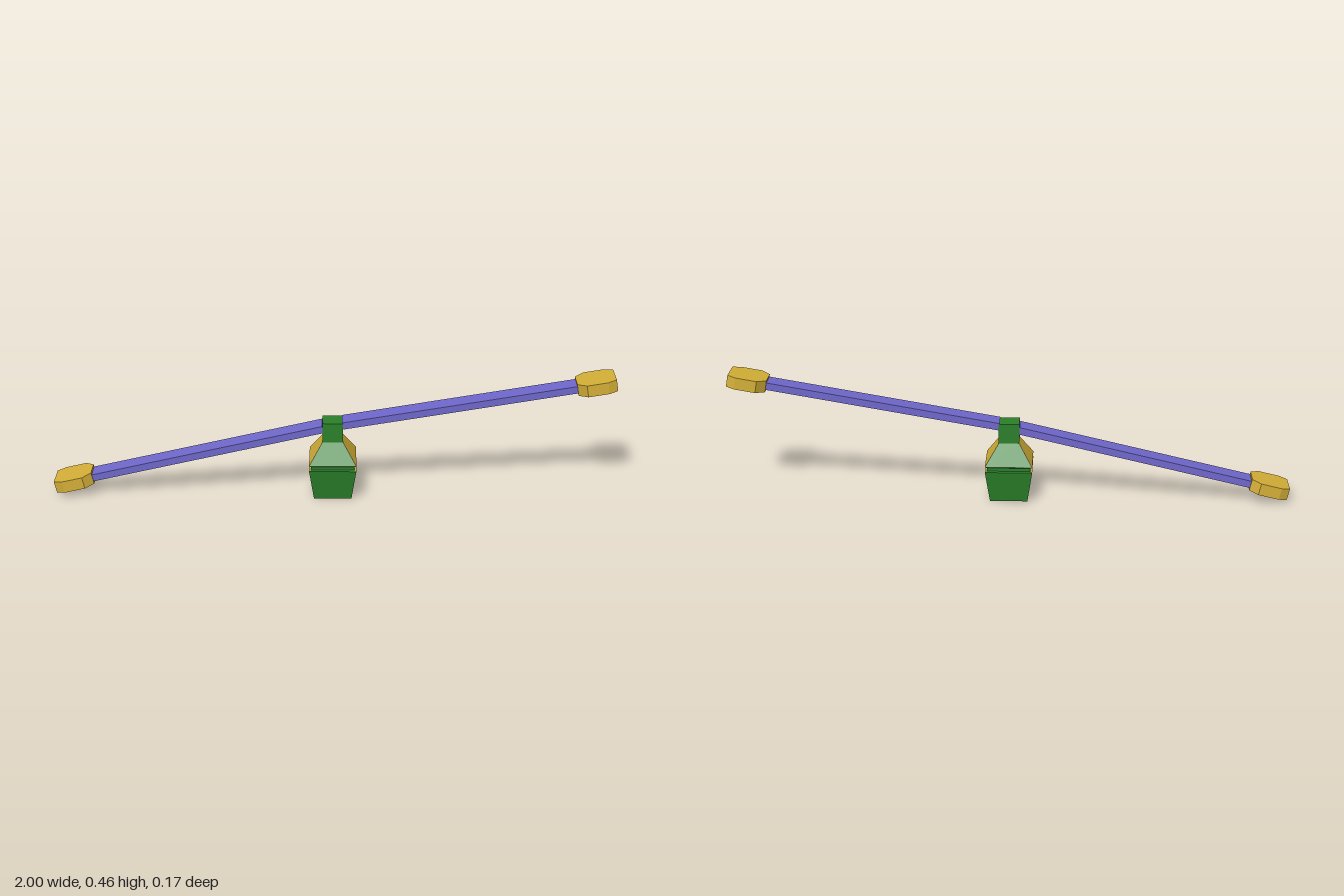
import * as THREE from 'three';

const mat = (color) => new THREE.MeshStandardMaterial({ color, flatShading: true });

// Square body profile: [height, half width]
const PROFILE = [[0, 0.067], [0.115, 0.084], [0.118, 0.077], [0.13, 0.077], [0.135, 0.084], [0.208, 0.0365], [0.28, 0.0365]];

// One side of the square body, facing +z, optionally closed with its half of the base and top
function sideGeometry(closed) {
  const points = [];
  const quad = (a, b, c, d) => [a, b, c, a, c, d].forEach((p) => points.push(...p));
  for (let i = 0; i < PROFILE.length - 1; i++) {
    const [y0, r0] = PROFILE[i];
    const [y1, r1] = PROFILE[i + 1];
    quad([-r0, y0, r0], [r0, y0, r0], [r1, y1, r1], [-r1, y1, r1]);
  }
  if (closed) {
    const [yb, rb] = PROFILE[0];
    const [yt, rt] = PROFILE[PROFILE.length - 1];
    quad([-rb, yb, 0], [rb, yb, 0], [rb, yb, rb], [-rb, yb, rb]);
    quad([-rt, yt, rt], [rt, yt, rt], [rt, yt, 0], [-rt, yt, 0]);
  }
  const geometry = new THREE.BufferGeometry();
  geometry.setAttribute('position', new THREE.Float32BufferAttribute(points, 3));
  geometry.computeVertexNormals();
  return geometry;
}

// Chamfered end block, lying flat and centred on its origin
function tipGeometry(length, width, height) {
  const x = length / 2, z = width / 2, cx = 0.031, cz = 0.015;
  const shape = new THREE.Shape([
    [x, -z + cz], [x, z - cz], [x - cx, z], [-x + cx, z],
    [-x, z - 0.026], [-x, -z + 0.026], [-x + cx, -z], [x - cx, -z],
  ].map(([a, b]) => new THREE.Vector2(a, b)));
  const geometry = new THREE.ExtrudeGeometry(shape, { depth: height, bevelEnabled: false });
  return geometry.rotateX(-Math.PI / 2).translate(0, -height / 2, 0);
}

export function createModel() {
  const model = new THREE.Group();
  const green = mat(0x2a802a), gold = mat(0xd4af37), purple = mat(0x7068cc);
  const add = (parent, name, geometry, material) => {
    const mesh = new THREE.Mesh(geometry, material);
    mesh.name = name;
    parent.add(mesh);
    return mesh;
  };

  // Body: green front and back, gold flanks
  const body = new THREE.Group();
  body.name = 'body';
  model.add(body);
  ['frontPanel', 'leftPanel', 'backPanel', 'rightPanel'].forEach((name, i) => {
    const closed = i % 2 === 0;
    add(body, name, sideGeometry(closed), closed ? green : gold).rotation.y = i * Math.PI / 2;
  });

  // Arms: a flat beam from the neck with a gold block on its end
  const arms = [
    { name: 'left', tip: [0.927, 0.4225], flip: 0 },
    { name: 'right', tip: [-0.929, 0.0485], flip: Math.PI },
  ];
  for (const { name, tip, flip } of arms) {
    const arm = new THREE.Group();
    arm.name = name + 'Arm';
    arm.position.y = 0.264;
    const rise = tip[1] - 0.264;
    const reach = Math.hypot(tip[0], rise);
    // Turn half round for the far side, then tilt along the arm
    arm.rotation.set(0, flip, Math.atan2(rise, Math.abs(tip[0])));
    const start = 0.036, end = reach - 0.06;
    add(arm, name + 'Beam', new THREE.BoxGeometry(end - start, 0.026, 0.071).translate((start + end) / 2, 0, 0), purple);
    add(arm, name + 'Tip', tipGeometry(0.137, 0.126, 0.043).translate(reach, 0, 0), gold);
    model.add(arm);
  }
  return model;
}
